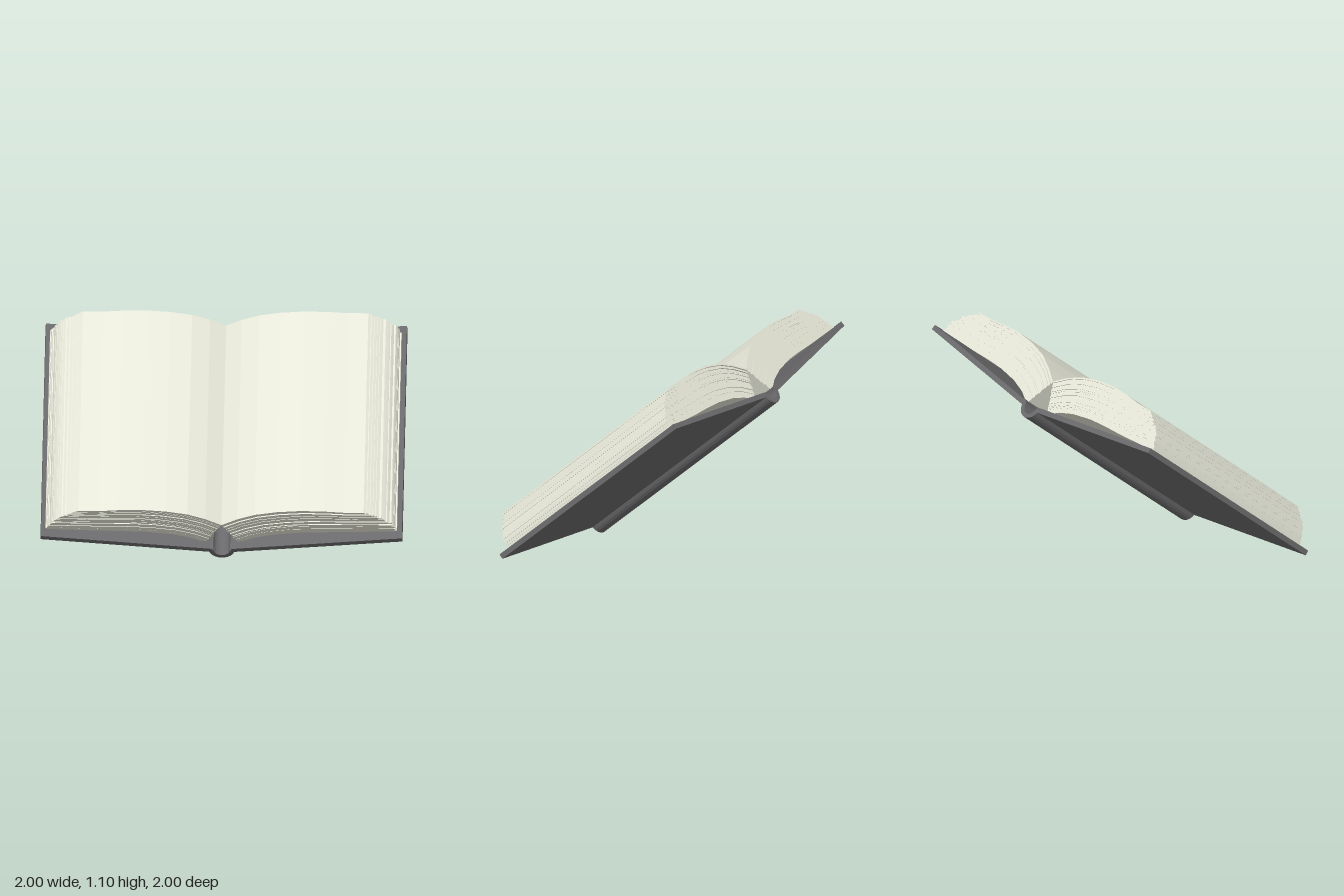
import * as THREE from 'three';

const LENGTH = 1.305;   // cover size along the spine
const MARGIN = 0.04;    // cover overhang beyond the pages
const LAYERS = 22;      // bundles of leaves per half

// Cross-section curves [across, up], from the gutter to the fore-edge
const UNDERSIDE = [[0.085, -0.09], [0.16, -0.05], [0.25, -0.022], [0.38, -0.002],
  [0.5, 0.004], [0.62, 0.006], [0.75, 0.012], [0.89, 0.018]];
const TOP = [[0, 0.07], [0.08, 0.122], [0.17, 0.163], [0.28, 0.188],
  [0.4, 0.2], [0.52, 0.197], [0.62, 0.187], [0.72, 0.188]];

// Small seeded generator for uneven leaf edges
let seed = 7;
function rand() {
  seed = (seed * 16807) % 2147483647;
  return seed / 2147483647;
}

// Extrude a cross-section along the spine, from "near" to "far"
function prism(points, near, far, material, name) {
  const shape = new THREE.Shape(points.map(([x, y]) => new THREE.Vector2(x, y)));
  const geometry = new THREE.ExtrudeGeometry(shape, { depth: far - near, bevelEnabled: false });
  geometry.translate(0, 0, -far);
  const mesh = new THREE.Mesh(geometry, material);
  mesh.name = name;
  return mesh;
}

// Curve through the page block at height t (0 = cover side, 1 = open page)
function leafCurve(t, trim, side) {
  return UNDERSIDE.map(([x, y], i) => {
    let px = THREE.MathUtils.lerp(x, TOP[i][0], t);
    const py = THREE.MathUtils.lerp(y, TOP[i][1], t);
    if (i === UNDERSIDE.length - 1) px += 0.04 * Math.sin(Math.PI * t) - trim;
    return [side * px, py];
  });
}

export function createModel() {
  const coverMaterial = new THREE.MeshStandardMaterial({ color: 0x6a6a6c, flatShading: true });
  const paperMaterial = new THREE.MeshStandardMaterial({ color: 0xe6e7d8, flatShading: true });

  const book = new THREE.Group();
  book.name = 'openBook';

  for (const side of [-1, 1]) {
    const half = side < 0 ? 'right' : 'left';

    // Cover board, rising gently towards its outer edge
    const board = [[0.05, -0.11], [0.914, -0.006], [0.911, 0.021], [0.047, -0.083]];
    book.add(prism(board.map(([x, y]) => [side * x, y]), 0, LENGTH, coverMaterial, half + 'Cover'));

    // Page block made of slightly uneven bundles of leaves
    const pages = new THREE.Group();
    pages.name = half + 'Pages';
    for (let i = 0; i < LAYERS; i++) {
      const last = i === LAYERS - 1;
      const trim = last ? 0 : rand() * 0.016;
      const lower = leafCurve(i / LAYERS, trim, side);
      const upper = leafCurve((i + 1) / LAYERS, trim, side);
      const near = MARGIN + (last ? 0 : rand() * 0.007);
      const far = LENGTH - MARGIN - (last ? 0 : rand() * 0.007);
      pages.add(prism([...lower, ...upper.reverse()], near, far, paperMaterial, 'leaves'));
    }
    book.add(pages);
  }

  // Rounded, hollow spine joining the two boards
  const arc = (radius) => Array.from({ length: 13 }, (_, i) => {
    const a = Math.PI * (1 + i / 12);
    return [radius * Math.cos(a), -0.095 + radius * Math.sin(a)];
  });
  book.add(prism([...arc(0.064), ...arc(0.042).reverse()], 0, LENGTH, coverMaterial, 'spine'));

  // Lean the book back and turn it diagonally
  book.rotation.set(0.709, Math.PI / 4, 0, 'YXZ');
  book.position.set(0.35, 0.12, 0.35);

  const model = new THREE.Group();
  model.add(book);
  return model;
}
